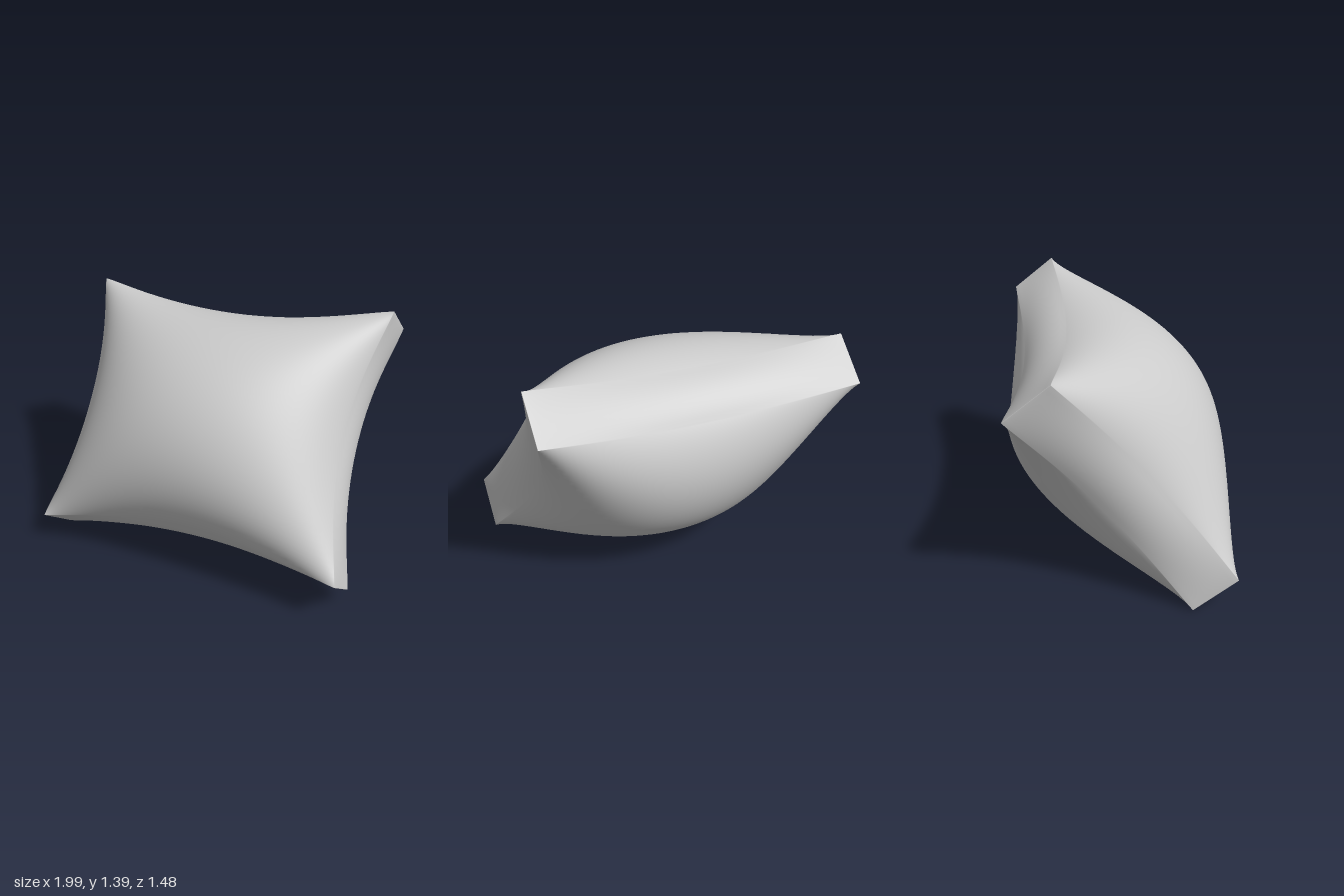
import * as THREE from 'three';
import { mergeVertices } from 'three/addons/utils/BufferGeometryUtils.js';

// Half sizes of the flat box the cushion is inflated from, and its half thickness in the middle
const HALF_W = 0.87, HALF_H = 0.72, HALF_BAND = 0.144, HALF_PUFF = 0.535;
const PULL = 0.118;  // how far the middle of each edge is drawn in
const BULGE = 0.03;  // how far the side bands round outwards

// Elliptical swelling: 1 in the middle of a panel, 0 at its seam
const EDGE = Math.sqrt(1 - 0.925);
const swell = (t) => (Math.sqrt(1 - 0.925 * t * t) - EDGE) / (1 - EDGE);
const pull = (t) => PULL * Math.pow(Math.max(0, 1 - t * t), 1.2);
const spread = (t) => Math.sin(t * Math.PI / 2); // crowd rows towards the seams

function cushionGeometry() {
  let geo = new THREE.BoxGeometry(2, 2, 2, 48, 42, 10);
  geo.deleteAttribute('normal');
  geo.deleteAttribute('uv');
  geo = mergeVertices(geo);
  const pos = geo.attributes.position;
  for (let i = 0; i < pos.count; i++) {
    const p = spread(pos.getX(i)), q = spread(pos.getY(i)), r = pos.getZ(i);
    const round = BULGE * (1 - r * r);
    pos.setXYZ(i,
      p * (HALF_W - pull(q) + round * (1 - q * q)),
      q * (HALF_H - pull(p) + round * (1 - p * p)),
      r * (HALF_BAND + (HALF_PUFF - HALF_BAND) * Math.pow(Math.max(0, swell(p) * swell(q)), 0.95)));
  }
  geo.computeVertexNormals();
  return geo;
}

export function createModel() {
  const group = new THREE.Group();
  group.name = 'pillow';

  const cushion = new THREE.Mesh(cushionGeometry(), new THREE.MeshStandardMaterial({ color: 0xcccccc }));
  cushion.name = 'cushion';

  // Leaning back and turned, resting on one corner
  const across = new THREE.Vector3(0.973, 0.052, -0.225).normalize();
  const up = new THREE.Vector3(-0.187, 0.776, -0.602);
  const out = new THREE.Vector3().crossVectors(across, up).normalize();
  up.crossVectors(out, across);
  cushion.quaternion.setFromRotationMatrix(new THREE.Matrix4().makeBasis(across, up, out));
  cushion.position.y = 0.7;
  group.add(cushion);
  return group;
}
